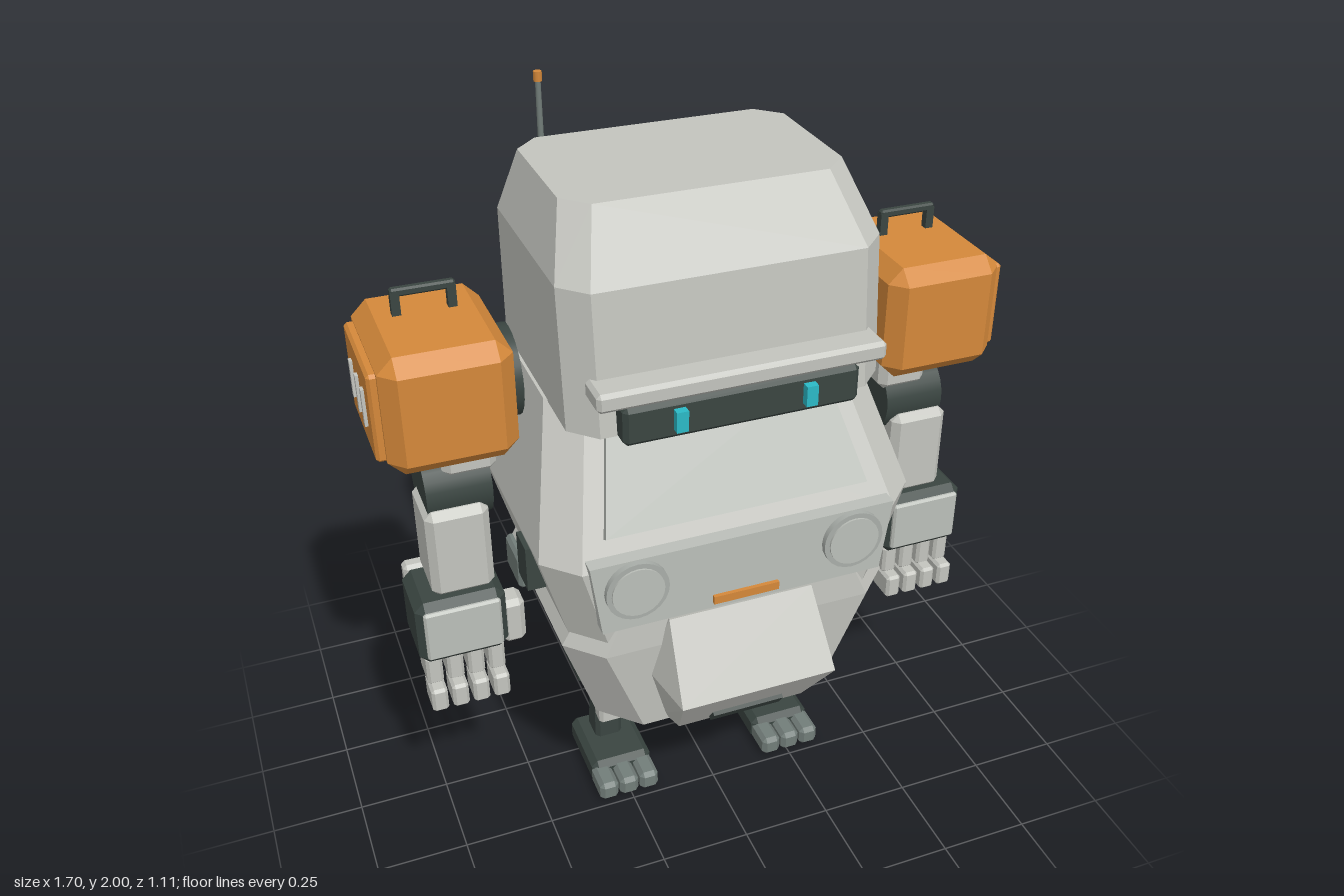
import * as THREE from 'three';
import { ConvexGeometry } from 'three/addons/geometries/ConvexGeometry.js';

const mat = (name, color) => Object.assign(new THREE.MeshStandardMaterial({ color }), { name });

export function createModel() {
  const root = new THREE.Group();
  root.name = 'robot';
  const body = mat('light grey body', 0xc3c4be);
  const panel = mat('cool grey panel', 0xbbbfb9);
  const lens = mat('lamp grey', 0xa9aea9);
  const dark = mat('dark green grey', 0x3a4541);
  const mid = mat('mid grey', 0x727d79);
  const orange = mat('orange', 0xd4883a);
  const cyan = mat('cyan eye', 0x2bb9c6);

  const add = (parent, name, geometry, material, x = 0, y = 0, z = 0) => {
    const mesh = new THREE.Mesh(geometry, material);
    mesh.name = name;
    mesh.position.set(x, y, z);
    parent.add(mesh);
    return mesh;
  };
  const group = (name) => {
    const g = new THREE.Group();
    g.name = name;
    root.add(g);
    return g;
  };
  const hull = (...rings) =>
    new ConvexGeometry(rings.flat().map((p) => new THREE.Vector3(...p)));
  // Horizontal rectangle with cut corners
  const ring = (y, hx, z0, z1, c) =>
    [-1, 1].flatMap((s) => [
      [s * hx, y, z0 + c], [s * hx, y, z1 - c],
      [s * (hx - c), y, z0], [s * (hx - c), y, z1],
    ]);
  // Box given by its ranges, with all edges chamfered by c; s mirrors it in x
  const box = (parent, name, m, [x0, x1], [y0, y1], [z0, z1], c = 0, s = 1) => {
    const w = x1 - x0, h = y1 - y0, d = z1 - z0;
    let geo;
    if (c) {
      const pts = [];
      for (const i of [-1, 1]) for (const j of [-1, 1]) for (const k of [-1, 1]) {
        const X = i * w / 2, Y = j * h / 2, Z = k * d / 2;
        pts.push([X, Y - j * c, Z - k * c], [X - i * c, Y, Z - k * c], [X - i * c, Y - j * c, Z]);
      }
      geo = hull(pts);
    } else geo = new THREE.BoxGeometry(w, h, d);
    return add(parent, name, geo, m, s * (x0 + x1) / 2, (y0 + y1) / 2, (z0 + z1) / 2);
  };
  const cylX = (parent, name, m, r, len, x, y, z, n = 24) => {
    const c = add(parent, name, new THREE.CylinderGeometry(r, r, len, n), m, x, y, z);
    c.rotation.z = Math.PI / 2;
    return c;
  };
  const cylZ = (parent, name, m, r, len, x, y, z) => {
    const c = add(parent, name, new THREE.CylinderGeometry(r, r, len, 24), m, x, y, z);
    c.rotation.x = Math.PI / 2;
    return c;
  };
  const trapezoid = (topHalf, bottomHalf, h, depth) => {
    const s = new THREE.Shape([
      [-bottomHalf, -h / 2], [bottomHalf, -h / 2], [topHalf, h / 2], [-topHalf, h / 2],
    ].map((p) => new THREE.Vector2(...p)));
    return new THREE.ExtrudeGeometry(s, { depth, bevelEnabled: false });
  };

  // Head
  const head = group('head');
  add(head, 'headShell', hull(
    ring(1.32, 0.412, -0.3, 0.36, 0.065),
    ring(1.68, 0.412, -0.3, 0.325, 0.065),
    ring(1.84, 0.36, -0.26, 0.2, 0.062)), body);
  box(head, 'brow', body, [-0.37, 0.37], [1.42, 1.47], [0.32, 0.42], 0.01);
  box(head, 'visor', dark, [-0.305, 0.305], [1.312, 1.415], [0.3, 0.41], 0.012);
  for (const s of [-1, 1]) box(head, 'eye', cyan, [0.152, 0.182], [1.34, 1.395], [0.4, 0.432], 0, s);
  add(head, 'antenna', new THREE.CylinderGeometry(0.007, 0.009, 0.39, 10), mid, -0.275, 1.785, -0.282);
  add(head, 'antennaTip', new THREE.CylinderGeometry(0.011, 0.011, 0.025, 10), orange, -0.275, 1.9875, -0.282);

  // Torso, pelvis and jaw
  const torso = group('torso');
  add(torso, 'chestShell', hull(
    ring(1.325, 0.42, -0.3, 0.215, 0.08),
    ring(0.98, 0.51, -0.345, 0.42, 0.085),
    ring(0.68, 0.425, -0.32, 0.4, 0.08)), body);
  add(torso, 'pelvis', hull(
    ring(0.81, 0.4, -0.26, 0.41, 0.08),
    ring(0.7, 0.46, -0.27, 0.415, 0.09),
    ring(0.415, 0.365, -0.27, 0.39, 0.1)), body);
  const both = (x, y, z) => [[-x, y, z], [x, y, z]];
  add(torso, 'jaw', hull(
    both(0.2, 0.78, 0.42), both(0.2, 0.76, 0.36), both(0.215, 0.59, 0.555),
    both(0.25, 0.6, 0.38), both(0.18, 0.42, 0.435), both(0.2, 0.42, 0.37)), body);
  const slot = add(torso, 'jawSlot', new THREE.BoxGeometry(0.2, 0.045, 0.014), dark, 0, 0.46, 0.468);
  slot.rotation.x = 0.615;
  const chestPanel = add(torso, 'chestPanel', trapezoid(0.29, 0.355, 0.32, 0.025), panel, 0, 1.18, 0.294);
  chestPanel.rotation.x = -0.543;

  // Lamp plate
  add(torso, 'lampPlate', trapezoid(0.412, 0.385, 0.205, 0.045), panel, 0, 0.907, 0.397);
  for (const s of [-1, 1]) {
    cylZ(torso, 'lampRing', lens, 0.083, 0.03, s * 0.295, 0.925, 0.443);
    cylZ(torso, 'lamp', panel, 0.069, 0.008, s * 0.295, 0.925, 0.459);
  }
  box(torso, 'lampPlateStrip', orange, [-0.09, 0.09], [0.822, 0.845], [0.43, 0.453]);
  for (const s of [-1, 1]) {
    box(torso, 'sideVent', dark, [0.46, 0.515], [0.82, 0.95], [0.14, 0.225], 0, s);
    box(torso, 'hipBlock', mid, [0.4, 0.472], [0.61, 0.715], [-0.19, -0.05], 0.01, s);
  }
  const hosePath = new THREE.CatmullRomCurve3([
    [0.42, 0.75, -0.16], [0.51, 0.745, -0.215], [0.57, 0.65, -0.24], [0.575, 0.53, -0.18],
    [0.52, 0.455, -0.05], [0.42, 0.445, 0.03], [0.33, 0.46, 0.07],
  ].map((p) => new THREE.Vector3(...p)));
  add(torso, 'hose', new THREE.TubeGeometry(hosePath, 40, 0.025, 12), body);

  // Backpack
  const pack = group('backpack');
  box(pack, 'packBody', dark, [-0.27, 0.27], [0.745, 1.315], [-0.507, -0.315], 0.045);
  box(pack, 'packPlate', panel, [-0.205, 0.205], [0.86, 1.25], [-0.53, -0.5]);
  for (const y of [1.205, 1.15, 1.095]) {
    box(pack, 'packSlot', dark, [-0.145, 0.145], [y - 0.012, y + 0.012], [-0.552, -0.52], 0.005);
  }
  box(pack, 'packStrip', orange, [-0.11, 0.11], [0.945, 0.985], [-0.552, -0.52], 0.005);
  for (const s of [-1, 1]) {
    cylZ(pack, 'packBolt', mid, 0.024, 0.04, s * 0.185, 1.235, -0.535);
    box(pack, 'packLatch', mid, [0.125, 0.21], [0.86, 0.96], [-0.555, -0.51], 0.008, s);
  }

  for (const s of [-1, 1]) {
    // Shoulder
    const arm = group(s > 0 ? 'leftArm' : 'rightArm');
    cylX(arm, 'shoulderJoint', dark, 0.118, 0.06, s * 0.495, 1.357, 0.015);
    box(arm, 'shoulder', orange, [0.497, 0.82], [1.213, 1.53], [-0.187, 0.217], 0.04, s);
    box(arm, 'shoulderPlate', orange, [0.81, 0.843], [1.25, 1.487], [-0.132, 0.167], 0.008, s);
    for (const z of [0.095, 0.022, -0.055]) {
      box(arm, 'shoulderVent', body, [0.838, 0.851], [1.32, 1.42], [z - 0.009, z + 0.009], 0, s);
    }
    box(arm, 'handleBar', dark, [0.577, 0.737], [1.578, 1.6], [-0.048, -0.026], 0.005, s);
    for (const x of [0.588, 0.726]) {
      box(arm, 'handlePost', dark, [x - 0.011, x + 0.011], [1.52, 1.59], [-0.048, -0.026], 0, s);
    }

    // Arm
    box(arm, 'upperArm', body, [0.54, 0.68], [1.125, 1.24], [-0.042, 0.11], 0.02, s);
    cylX(arm, 'elbow', dark, 0.101, 0.17, s * 0.645, 1.075, 0.02);
    box(arm, 'forearm', body, [0.577, 0.743], [0.79, 1.05], [-0.04, 0.142], 0.02, s);

    // Hand
    box(arm, 'hand', dark, [0.56, 0.8], [0.605, 0.8], [-0.025, 0.178], 0.025, s);
    box(arm, 'handFrontPlate', panel, [0.578, 0.782], [0.63, 0.78], [0.15, 0.184], 0.006, s);
    box(arm, 'handBackPlate', body, [0.57, 0.79], [0.63, 0.795], [-0.065, -0.02], 0.01, s);
    box(arm, 'thumb', body, [0.5, 0.565], [0.57, 0.71], [0.04, 0.12], 0.015, s);
    for (let i = 0; i < 4; i++) {
      const x = 0.595 + i * 0.0565;
      box(arm, 'fingerBase', body, [x - 0.022, x + 0.022], [0.525, 0.615], [0.055, 0.155], 0.008, s);
      box(arm, 'fingerTip', body, [x - 0.022, x + 0.022], [0.457, 0.53], [0.1, 0.19], 0.008, s);
    }

    // Leg
    const leg = group(s > 0 ? 'leftLeg' : 'rightLeg');
    const cx = s * 0.257;
    add(leg, 'hip', hull(
      ring(0.45, 0.108, -0.055, 0.16, 0.035),
      ring(0.385, 0.108, -0.055, 0.16, 0.035),
      ring(0.345, 0.068, -0.015, 0.12, 0.025)), dark, cx);
    add(leg, 'strut', hull(
      ring(0.37, 0.036, -0.002, 0.052, 0.01),
      ring(0.07, 0.041, -0.033, 0.055, 0.012)), dark, cx);
    box(leg, 'shin', body, [0.212, 0.298], [0.168, 0.37], [0.042, 0.1], 0.01, s);
    box(leg, 'foot', dark, [0.165, 0.345], [0, 0.08], [-0.065, 0.167], 0.018, s);
    for (const dx of [-0.061, 0, 0.061]) {
      const x = 0.257 + dx;
      box(leg, 'toe', mid, [x - 0.028, x + 0.028], [0.005, 0.065], [0.14, 0.24], 0.012, s);
    }
  }
  return root;
}
